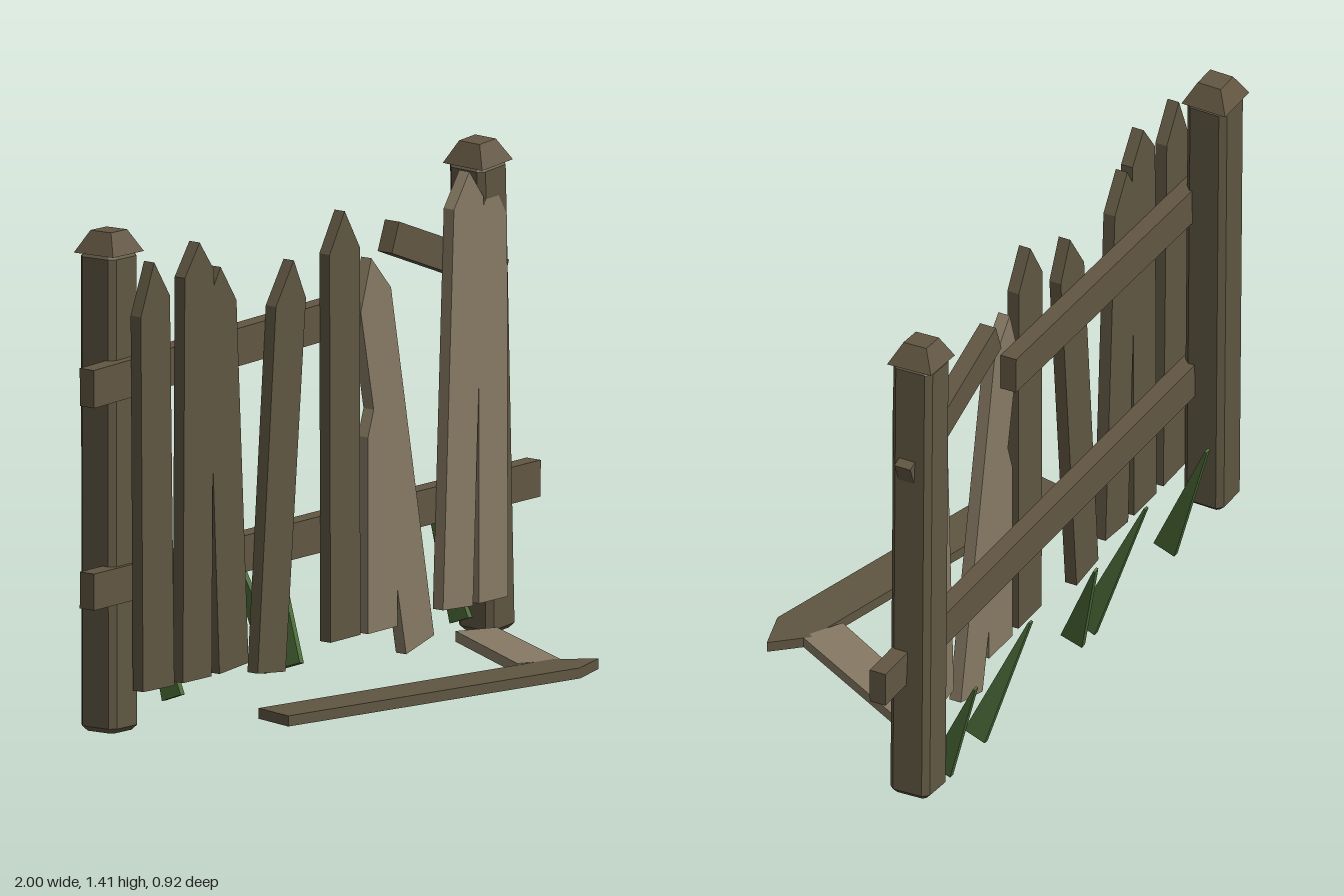
import * as THREE from 'three';

const mat = (name, color) => {
  const m = new THREE.MeshStandardMaterial({ color });
  m.name = name;
  return m;
};

export function createModel() {
  const root = new THREE.Group();
  root.name = 'brokenFence';
  const darkWood = mat('dark wood', 0x5f5642);
  const railWood = mat('rail wood', 0x625642);
  const paleWood = mat('pale wood', 0x877a64);
  const grass = mat('grass green', 0x4c6b38);
  const UP = new THREE.Vector3(0, 1, 0);

  const add = (parent, name, geo, material) => {
    const mesh = new THREE.Mesh(geo, material);
    mesh.name = name;
    parent.add(mesh);
    return mesh;
  };
  // Flat board cut from an outline
  const board = (points, depth) => new THREE.ExtrudeGeometry(
    new THREE.Shape(points.map(([x, y]) => new THREE.Vector2(x, y))),
    { depth, bevelEnabled: false });

  // Leaning posts with chamfered edges and a sloped cap
  const post = (name, base, top) => {
    const dir = new THREE.Vector3(...top).sub(new THREE.Vector3(...base));
    const length = dir.length();
    const g = new THREE.Group();
    g.name = name;
    g.position.set(...base);
    g.quaternion.setFromUnitVectors(UP, dir.normalize());
    const h = 0.047, c = 0.008, b = 0.015;
    const section = new THREE.Shape([
      [h, -h + c], [h, h - c], [h - c, h], [c - h, h],
      [-h, h - c], [-h, c - h], [c - h, -h], [h - c, -h],
    ].map(([x, y]) => new THREE.Vector2(x, y)));
    const body = new THREE.ExtrudeGeometry(section, {
      depth: length - 2 * b, bevelSize: b, bevelThickness: b, bevelSegments: 1 });
    body.rotateX(-Math.PI / 2).translate(0, b, 0);
    add(g, name + 'Shaft', body, darkWood);
    const cap = new THREE.CylinderGeometry(0.036 * Math.SQRT2, 0.069 * Math.SQRT2, 0.062, 4)
      .rotateY(Math.PI / 4).translate(0, length + 0.026, 0).toNonIndexed();
    cap.computeVertexNormals();
    add(g, name + 'Cap', cap, railWood);
    root.add(g);
  };
  post('rightPost', [-0.85, 0.005, -0.253], [-0.814, 1.35, -0.283]);
  post('leftPost', [0.843, 0.005, -0.255], [0.749, 1.35, -0.213]);

  // Rails: start, end and height of each bar
  const rail = (name, x1, y1, x2, y2, height) => {
    const bar = add(root, name, new THREE.BoxGeometry(
      Math.hypot(x2 - x1, y2 - y1), height, 0.05), railWood);
    bar.position.set((x1 + x2) / 2, (y1 + y2) / 2, -0.214);
    bar.rotation.z = Math.atan2(y2 - y1, x2 - x1);
  };
  rail('lowerRail', -1, 0.427, 1, 0.41, 0.103);
  rail('upperRail', -1, 1.0, 0.25, 1.018, 0.107);
  rail('brokenRail', 0.35, 1.2, 0.842, 1.01, 0.09);

  // Pickets: outlines run from the bottom left, anticlockwise
  const pickets = [
    [darkWood, [[-0.825, 0.12], [-0.685, 0.115], [-0.705, 1.22], [-0.775, 1.325], [-0.835, 1.18]]],
    [darkWood, [[-0.647, 0.115], [-0.518, 0.113], [-0.508, 1.26], [-0.572, 1.347], [-0.638, 1.257]]],
    [darkWood, [[-0.483, 0.113], [-0.353, 0.123], [-0.407, 1.157], [-0.478, 1.262], [-0.535, 1.17]]],
    [darkWood, [[-0.312, 0.085], [-0.187, 0.07], [-0.096, 1.11], [-0.15, 1.225], [-0.23, 1.107]]],
    [darkWood, [[0.014, 0.117], [0.148, 0.117], [0.145, 1.213], [0.078, 1.325], [0.01, 1.213]]],
    [paleWood, [[0.182, 0.113], [0.315, 0.113], [0.315, 0.66], [0.28, 0.74], [0.25, 0.69],
      [0.212, 0.755], [0.182, 0.668]]],
    [paleWood, [[0.353, 0.027], [0.478, 0.06], [0.285, 1.075], [0.197, 1.172], [0.15, 1.027]]],
    [paleWood, [[0.518, 0.123], [0.652, 0.113], [0.7, 1.26], [0.636, 1.342], [0.567, 1.246]]],
    [paleWood, [[0.679, 0.115], [0.809, 0.113], [0.805, 1.19], [0.74, 1.3], [0.677, 1.2]]],
  ];
  pickets.forEach(([material, outline], i) => {
    add(root, 'picket' + (i + 1), board(outline, 0.036), material).position.z = -0.19;
  });

  // Fallen boards lying in front, outlined in x and z
  const fallen = (name, points, material) => {
    const geo = board(points.map(([x, z]) => [x, -z]), 0.03).rotateX(-Math.PI / 2);
    add(root, name, geo, material).position.y = 0.04;
  };
  fallen('fallenPicket',
    [[-0.61, 0.082], [-0.64, 0.21], [0.353, 0.456], [0.48, 0.42], [0.395, 0.325]], darkWood);
  fallen('fallenPiece',
    [[0.52, -0.112], [0.29, 0.285], [0.406, 0.35], [0.63, -0.053]], paleWood);

  // Tapered grass blades leaning backwards: base x, then tip x, y, z
  [
    [-0.52, -0.487, 0.42, -0.437],
    [-0.062, -0.093, 0.46, -0.46],
    [0.012, 0.087, 0.34, -0.4],
    [0.57, 0.515, 0.42, -0.43],
    [0.768, 0.777, 0.34, -0.4],
  ].forEach(([x, tx, ty, tz], i) => {
    const base = new THREE.Vector3(x, 0.035, -0.287);
    const dir = new THREE.Vector3(tx, ty, tz).sub(base);
    const length = dir.length();
    const geo = new THREE.BoxGeometry(0.018, length, 0.07).translate(0, length / 2, 0);
    const p = geo.attributes.position;
    for (let k = 0; k < p.count; k++) {
      if (p.getY(k) > length / 2) p.setZ(k, p.getZ(k) * 0.1);
    }
    geo.computeVertexNormals();
    const blade = add(root, 'grassBlade' + (i + 1), geo, grass);
    blade.position.copy(base);
    blade.quaternion.setFromUnitVectors(UP, dir.normalize());
  });

  return root;
}
